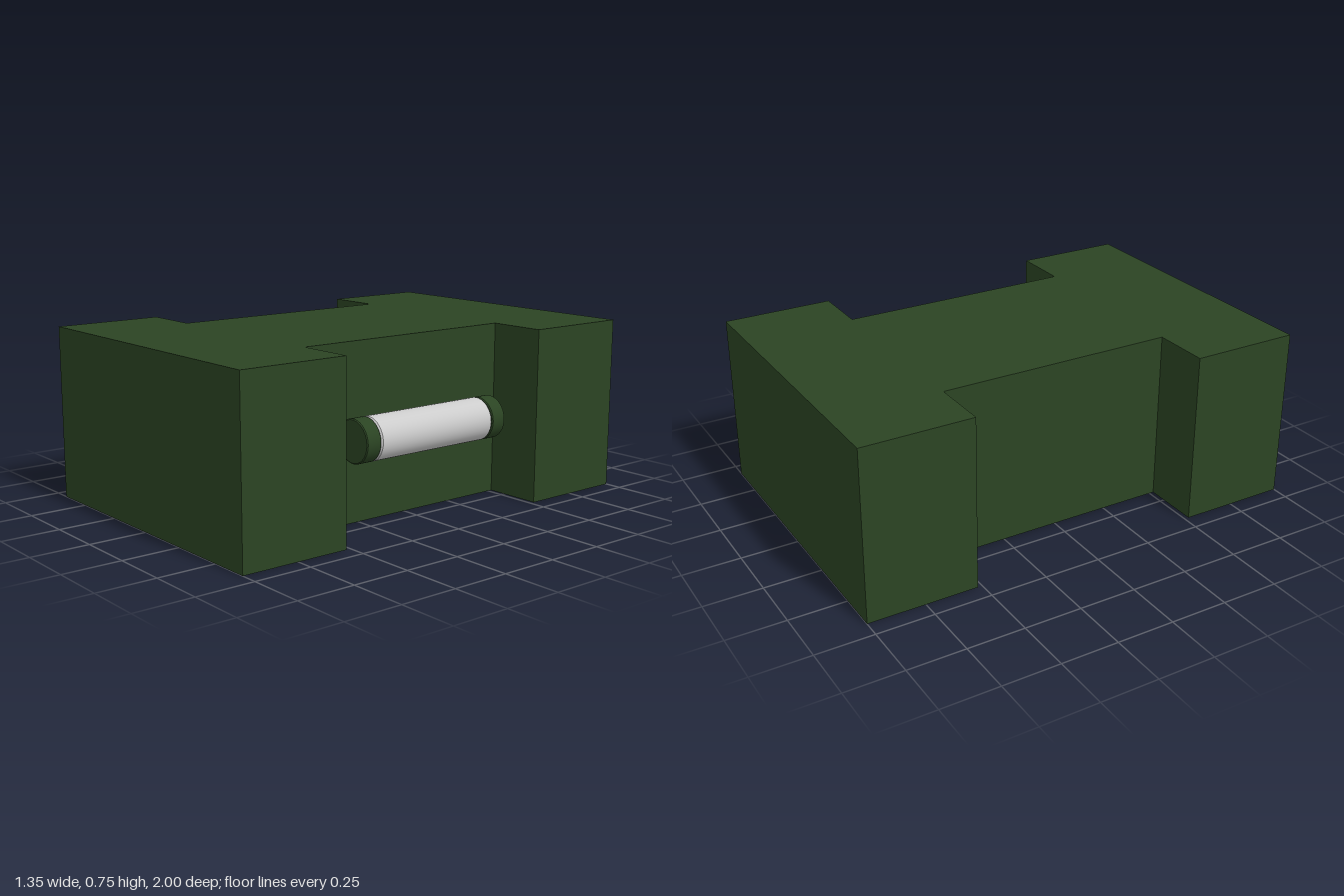
import * as THREE from 'three';
import { toCreasedNormals } from 'three/addons/utils/BufferGeometryUtils.js';

const green = new THREE.MeshStandardMaterial({ color: 0x2b4423 });
const grey = new THREE.MeshStandardMaterial({ color: 0xcccccc });

// Solid cylinder along z with slightly bevelled rims
function bevelledCylinder(name, radius, length, bevel, material) {
  const h = length / 2;
  const profile = [
    [0, -h], [radius - bevel, -h], [radius, -h + bevel],
    [radius, h - bevel], [radius - bevel, h], [0, h],
  ].map(([x, y]) => new THREE.Vector2(x, y));
  const geometry = toCreasedNormals(new THREE.LatheGeometry(profile, 40), 0.5);
  geometry.rotateX(Math.PI / 2);
  const mesh = new THREE.Mesh(geometry, material);
  mesh.name = name;
  return mesh;
}

export function createModel() {
  const model = new THREE.Group();
  model.name = 'model';

  // I-shaped block, outlined in plan and extruded upwards
  const endHalf = 0.675, waistHalf = 0.42, notch = 0.52, height = 0.75;
  const side = [[endHalf, -1], [endHalf, -notch], [waistHalf, -notch],
    [waistHalf, notch], [endHalf, notch], [endHalf, 1]];
  const outline = [...side, ...side.map(([x, z]) => [-x, -z])];
  const shape = new THREE.Shape(outline.map(([x, z]) => new THREE.Vector2(x, z)));
  const blockGeometry = new THREE.ExtrudeGeometry(shape, { depth: height, bevelEnabled: false });
  blockGeometry.rotateX(-Math.PI / 2);
  const block = new THREE.Mesh(blockGeometry, green);
  block.name = 'block';
  model.add(block);

  // Round handle floating in the left-hand notch
  const handle = new THREE.Group();
  handle.name = 'handle';
  handle.position.set(0.535, 0.376, -0.002);
  handle.add(bevelledCylinder('grip', 0.091, 0.61, 0.008, grey));
  for (const s of [-1, 1]) {
    const cap = bevelledCylinder('gripCap', 0.091, 0.073, 0.004, green);
    cap.position.z = s * 0.3415;
    handle.add(cap);
  }
  model.add(handle);

  return model;
}
